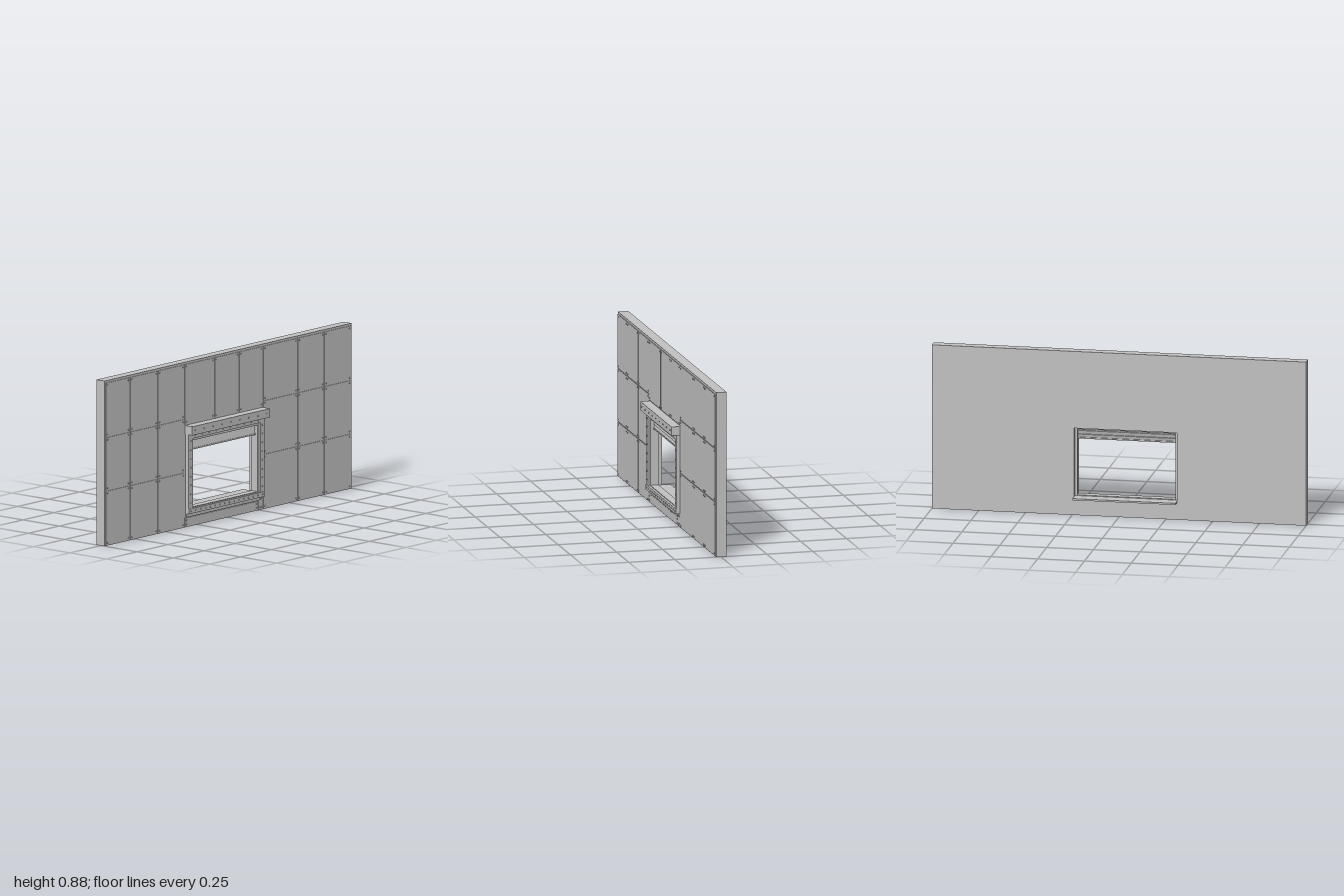
import * as THREE from 'three';
import { mergeGeometries } from 'three/addons/utils/BufferGeometryUtils.js';

const steel = new THREE.MeshStandardMaterial({ color: 0xc0c0c0 });
steel.name = 'light grey';

// Box given by its limits on each axis
function block(x0, x1, y0, y1, z0, z1) {
  const g = new THREE.BoxGeometry(x1 - x0, y1 - y0, z1 - z0);
  return g.translate((x0 + x1) / 2, (y0 + y1) / 2, (z0 + z1) / 2);
}

// Small screw head facing +z
function screw(x, y, z, r = 0.0045) {
  const g = new THREE.CylinderGeometry(r * 0.7, r, 0.004, 8);
  return g.rotateX(Math.PI / 2).translate(x, y, z + 0.001);
}

// Evenly spaced screws between two points
function screwRow(x0, y0, x1, y1, z, n) {
  return Array.from({ length: n }, (_, i) => {
    const t = i / (n - 1);
    return screw(x0 + (x1 - x0) * t, y0 + (y1 - y0) * t, z);
  });
}

export function createModel() {
  const model = new THREE.Group();
  model.name = 'wallWithWindow';
  const add = (name, parts) => {
    const mesh = new THREE.Mesh(mergeGeometries(parts), steel);
    mesh.name = name;
    model.add(mesh);
  };

  // Wall core around the window opening
  const H = 0.885, back = -0.031, face = 0.025;
  const L = -0.31, R = 0.24, B = 0.09, T = 0.47;
  add('leftWall', [block(R, 1, 0, H, back, face)]);
  add('rightWall', [block(-1, L, 0, H, back, face)]);
  add('wallAboveWindow', [block(L, R, T, H, back, face)]);
  add('wallBelowWindow', [block(L, R, 0, B, back, face)]);

  // Cladding panels with a screw near each corner
  const panels = [], panelScrews = [];
  const skin = 0.029, gap = 0.002;
  function panel(x0, x1, y0, y1) {
    panels.push(block(x0 + gap, x1 - gap, y0 + gap, y1 - gap, face - 0.001, skin));
    for (const x of [x0 + 0.014, x1 - 0.014])
      for (const y of [y0 + 0.014, y1 - 0.014]) panelScrews.push(screw(x, y, skin));
  }
  const columns = [-0.993, -0.796, -0.572, -0.354, -0.112, 0.086, 0.28, 0.56, 0.775, 0.993];
  const rows = [0.002, 0.295, 0.582, 0.875];
  for (let c = 0; c < columns.length - 1; c++) {
    const overWindow = c >= 3 && c <= 5;
    for (let r = 0; r < 3; r++) {
      if (overWindow && r < 2) continue;
      panel(columns[c], columns[c + 1], overWindow ? 0.55 : rows[r], rows[r + 1]);
    }
  }
  panel(-0.354, 0.24, 0.002, 0.052);
  panel(0.24, 0.28, 0.002, 0.075);
  panels.push(block(-0.345, 0.24, 0.054, 0.075, face - 0.001, 0.033));
  for (const x of [0.105, 0.13]) panelScrews.push(screw(x, 0.055, 0.032));
  add('claddingPanels', panels);
  add('panelScrews', panelScrews);

  // Outer window trim
  const trimZ = 0.046;
  add('windowTrim', [
    block(-0.345, -0.308, 0.075, 0.5, face, trimZ),
    block(0.237, 0.272, 0.075, 0.5, face, trimZ),
    block(-0.308, 0.237, 0.473, 0.5, face, trimZ),
    block(-0.345, 0.272, 0.073, 0.1, face, 0.049),
  ]);
  add('trimScrews', [
    ...screwRow(-0.325, 0.13, -0.325, 0.46, trimZ, 8),
    ...screwRow(0.254, 0.13, 0.254, 0.46, trimZ, 8),
    ...screwRow(-0.29, 0.487, 0.22, 0.487, trimZ, 10),
    ...screwRow(-0.325, 0.087, 0.254, 0.087, 0.049, 16),
  ]);

  // Inner frame, set back in the opening
  add('innerFrame', [
    block(L, -0.297, B, T, -0.008, 0.036),
    block(0.227, R, B, T, -0.008, 0.036),
    block(L, R, 0.46, 0.474, -0.008, 0.036),
    block(L, R, B, 0.104, -0.008, 0.036),
  ]);

  // Rolled-up shutter slats
  const slats = [];
  for (let i = 0; i < 3; i++) {
    const slat = new THREE.BoxGeometry(0.526, 0.021, 0.007);
    slats.push(slat.rotateX(-0.25).translate(-0.035, 0.42 + i * 0.02, 0.012));
  }
  slats.push(block(-0.298, 0.228, 0.406, 0.413, 0.004, 0.02));
  add('shutterSlats', slats);

  // Projecting hood above the window
  add('hood', [block(-0.35, 0.28, 0.499, 0.546, face, 0.076)]);
  add('hoodScrews', screwRow(-0.325, 0.523, 0.255, 0.523, 0.076, 9));

  // Interior sill board
  add('sill', [block(L, R, 0.091, 0.1, -0.077, -0.006)]);

  return model;
}
